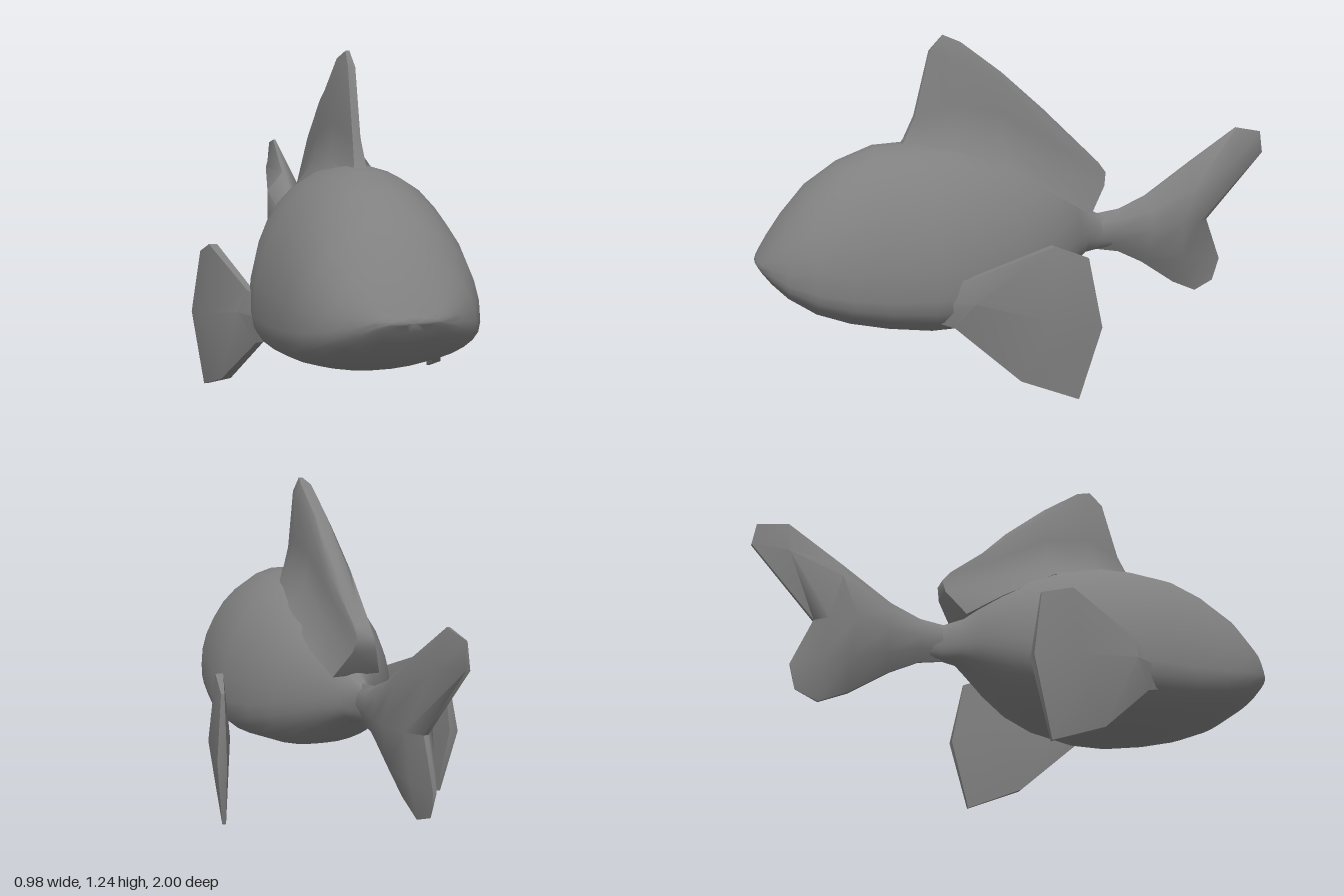
import * as THREE from 'three';
import { toCreasedNormals } from 'three/addons/utils/BufferGeometryUtils.js';

const material = new THREE.MeshStandardMaterial({ color: 0x808080 });

// Skin a list of mirrored rings, closing both ends along their centre line
function loft(name, rings, crease) {
  const n = rings[0].length;
  const midline = (ring) => ring.map((p, j) => p.clone().lerp(ring[n - 1 - j], 0.5));
  const all = [midline(rings[0]), ...rings, midline(rings[rings.length - 1])];
  const index = [];
  for (let i = 0; i < all.length - 1; i++) {
    for (let j = 0; j < n; j++) {
      const a = i * n + j, b = i * n + (j + 1) % n;
      index.push(a, b, a + n, b, b + n, a + n);
    }
  }
  const geometry = new THREE.BufferGeometry().setFromPoints(all.flat());
  geometry.setIndex(index);
  const mesh = new THREE.Mesh(toCreasedNormals(geometry, crease), material);
  mesh.name = name;
  return mesh;
}

// Fin from stations { t: half thickness, p: [z, y, x] across the blade }
function fin(name, stations, profile, crease, side = 1) {
  const rings = stations.map(({ t, p }) => {
    const face = (s) => p.map(([z, y, x = 0], i) =>
      new THREE.Vector3(x * side + s * t * profile[i], y, z));
    return [...face(1), ...face(-1).reverse()];
  });
  return loft(name, rings, crease);
}

// Body stations: z, top, bottom, half width, height of the widest line
const BODY = [
  [0.999, 0.475, 0.469, 0.025, 0.472],
  [0.993, 0.485, 0.462, 0.075, 0.471],
  [0.98, 0.51, 0.44, 0.115, 0.468],
  [0.95, 0.56, 0.4, 0.165, 0.455],
  [0.9, 0.63, 0.35, 0.23, 0.435],
  [0.81, 0.735, 0.288, 0.285, 0.41],
  [0.7, 0.81, 0.245, 0.315, 0.39],
  [0.57, 0.86, 0.213, 0.333, 0.375],
  [0.42, 0.868, 0.19, 0.353, 0.37],
  [0.3, 0.86, 0.187, 0.347, 0.375],
  [0.12, 0.82, 0.21, 0.3, 0.4],
  [0, 0.765, 0.25, 0.25, 0.43],
  [-0.1, 0.71, 0.31, 0.185, 0.46],
  [-0.18, 0.65, 0.37, 0.12, 0.48],
  [-0.235, 0.58, 0.405, 0.065, 0.485],
  [-0.3, 0.55, 0.413, 0.032, 0.483],
  [-0.4, 0.54, 0.42, 0.028, 0.48],
];

function body() {
  const sides = 30;
  const rings = BODY.map(([z, top, bottom, w, mid]) =>
    Array.from({ length: sides }, (_, j) => {
      const a = ((j + 0.5) / sides) * Math.PI * 2, c = Math.cos(a);
      const y = c > 0 ? mid + (top - mid) * c
        : mid - (mid - bottom) * Math.pow(-c, 0.85);
      return new THREE.Vector3(w * Math.sin(a), y, z);
    }));
  return loft('body', rings, 1.0);
}

// Dorsal fin, base to crest, each row front to back
const DORSAL = [
  { t: 0.13, p: [[0.5, 0.82], [0.3, 0.81], [0.1, 0.77], [-0.1, 0.65], [-0.23, 0.57]] },
  { t: 0.066, p: [[0.46, 0.875], [0.3, 0.89], [0.1, 0.86], [-0.12, 0.74], [-0.3, 0.67]] },
  { t: 0.046, p: [[0.42, 0.96], [0.28, 1.0], [0.1, 0.96], [-0.12, 0.83], [-0.31, 0.72]] },
  { t: 0.043, p: [[0.36, 1.19], [0.28, 1.17], [0.1, 1.07], [-0.08, 0.925], [-0.28, 0.76]] },
  { t: 0.023, p: [[0.31, 1.245], [0.25, 1.22], [0.1, 1.11], [-0.06, 0.97], [-0.21, 0.81]] },
];

// Forked tail, root to tips, each row top to bottom
const TAIL = [
  { t: 0.032, p: [[-0.28, 0.552], [-0.28, 0.52], [-0.28, 0.483], [-0.28, 0.45], [-0.28, 0.413]] },
  { t: 0.038, p: [[-0.38, 0.565], [-0.38, 0.53], [-0.38, 0.483], [-0.38, 0.44], [-0.38, 0.395]] },
  { t: 0.06, p: [[-0.49, 0.61], [-0.5, 0.56], [-0.5, 0.485], [-0.5, 0.4], [-0.48, 0.345]] },
  { t: 0.088, p: [[-0.68, 0.735], [-0.68, 0.655], [-0.62, 0.505], [-0.63, 0.36], [-0.62, 0.25]] },
  { t: 0.05, p: [[-0.88, 0.865], [-0.87, 0.74], [-0.71, 0.5], [-0.73, 0.34], [-0.72, 0.205]] },
  { t: 0.008, p: [[-0.99, 0.845], [-1, 0.76], [-0.76, 0.5], [-0.825, 0.33], [-0.8, 0.24]] },
];

// Pectoral fin, root to trailing edge, each row top to bottom
const PECTORAL = [
  { t: 0.02, p: [[0.4, 0.42, 0.3], [0.42, 0.36, 0.3], [0.44, 0.29, 0.29]] },
  { t: 0.03, p: [[0.31, 0.44, 0.345], [0.3, 0.36, 0.355], [0.36, 0.265, 0.322]] },
  { t: 0.042, p: [[0.04, 0.555, 0.428], [0.05, 0.3, 0.432], [0.15, 0.08, 0.405]] },
  { t: 0.018, p: [[-0.08, 0.51, 0.452], [-0.12, 0.27, 0.472], [-0.05, 0.003, 0.45]] },
];

export function createModel() {
  const model = new THREE.Group();
  model.name = 'fish';
  model.add(
    body(),
    fin('dorsalFin', DORSAL, [0.3, 0.9, 1, 1, 0.7], 1.0),
    fin('tailFin', TAIL, [0.1, 0.85, 1, 0.75, 0.1], 0.9),
    fin('leftPectoralFin', PECTORAL, [0.35, 1, 0.4], 0.5, 1),
    fin('rightPectoralFin', PECTORAL, [0.35, 1, 0.4], 0.5, -1),
  );
  return model;
}
